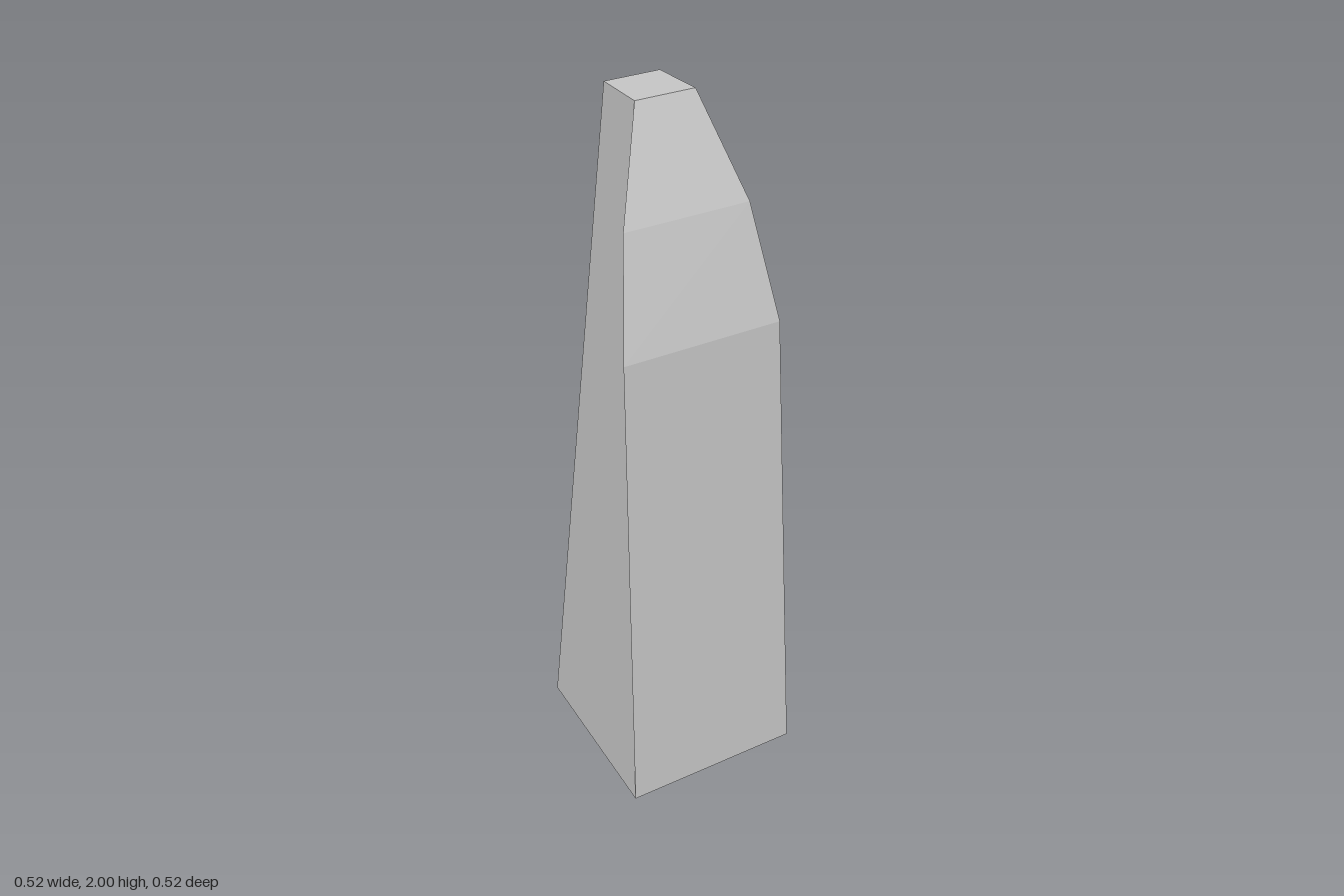
import * as THREE from 'three';

// Side outline as [half width, y, z]: up the front, over the top, down the back
const OUTLINE = [
  [0.262, 0, 0.262],
  [0.224, 1.42, 0.17],
  [0.175, 1.73, 0.087],
  [0.082, 2, -0.022],
  [0.077, 1.99, -0.188],
  [0.262, 0, -0.262],
];

export function createModel() {
  const left = OUTLINE.map(([x, y, z]) => new THREE.Vector3(x, y, z));
  const right = OUTLINE.map(([x, y, z]) => new THREE.Vector3(-x, y, z));
  const positions = [];
  const normals = [];

  // One polygon, fanned from its first corner and shaded with one average normal
  function addFace(corners) {
    const normal = new THREE.Vector3();
    const points = [];
    for (let i = 1; i < corners.length - 1; i++) {
      const a = corners[i].clone().sub(corners[0]);
      const b = corners[i + 1].clone().sub(corners[0]);
      normal.add(a.cross(b));
      points.push(corners[0], corners[i], corners[i + 1]);
    }
    normal.normalize();
    for (const p of points) {
      positions.push(p.x, p.y, p.z);
      normals.push(normal.x, normal.y, normal.z);
    }
  }

  // Faces spanning the width: front facets, top, back and base
  for (let i = 0; i < left.length; i++) {
    const j = (i + 1) % left.length;
    addFace([right[i], left[i], left[j], right[j]]);
  }

  // Twisted flanks: the left fans from its back corner, the right from its front corner
  addFace([...left].reverse());
  addFace(right);

  const geometry = new THREE.BufferGeometry();
  geometry.setAttribute('position', new THREE.Float32BufferAttribute(positions, 3));
  geometry.setAttribute('normal', new THREE.Float32BufferAttribute(normals, 3));

  const pillar = new THREE.Mesh(geometry, new THREE.MeshStandardMaterial({ color: 0xcccccc }));
  pillar.name = 'taperedPillar';

  const group = new THREE.Group();
  group.name = 'pillar';
  group.add(pillar);
  return group;
}
